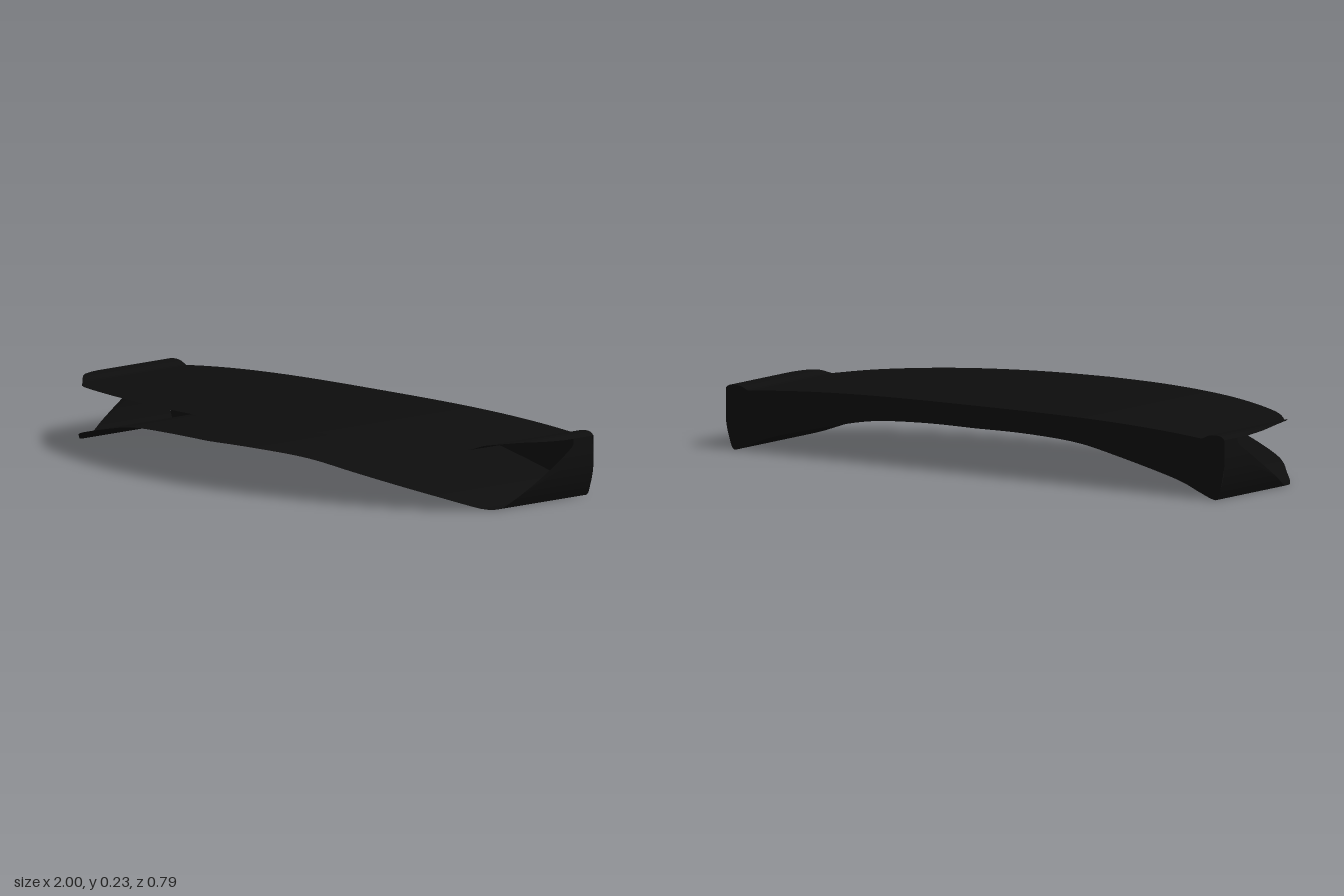
import * as THREE from 'three';

const BACK = -0.395;

// Smooth lookup y(x) through a few points with rising x
function curve(points) {
  const s = new THREE.SplineCurve(points.map(p => new THREE.Vector2(...p))).getPoints(300);
  return x => {
    if (x <= s[0].x) return s[0].y;
    for (let i = 1; i < s.length; i++) {
      if (s[i].x >= x) {
        const t = (x - s[i - 1].x) / Math.max(1e-6, s[i].x - s[i - 1].x);
        return THREE.MathUtils.lerp(s[i - 1].y, s[i].y, t);
      }
    }
    return s[s.length - 1].y;
  };
}

// Grid surface from a function of u, v in 0..1
function surface(nu, nv, fn, flip = false) {
  const pos = [], idx = [];
  for (let i = 0; i <= nu; i++) for (let j = 0; j <= nv; j++) pos.push(...fn(i / nu, j / nv));
  for (let i = 0; i < nu; i++) for (let j = 0; j < nv; j++) {
    const a = i * (nv + 1) + j, b = a + 1, c = a + nv + 1, d = c + 1;
    if (flip) idx.push(a, c, b, b, c, d);
    else idx.push(a, b, c, b, d, c);
  }
  const g = new THREE.BufferGeometry();
  g.setAttribute('position', new THREE.Float32BufferAttribute(pos, 3));
  g.setIndex(idx);
  g.computeVertexNormals();
  return g;
}

// Plan outline: front edge as z(x), and its inverse x(z)
const outline = [[0, 0.393], [0.2, 0.379], [0.4, 0.343], [0.6, 0.285], [0.8, 0.195], [0.9, 0.105],
  [0.95, 0.05], [0.97, 0], [0.985, -0.07], [0.995, -0.15], [1, -0.25]];
const frontZ = curve(outline);
const sideX = curve([[BACK, 1], ...outline.map(([x, z]) => [z, x]).reverse()]);

// Heights across the width
const lip = curve([[0.91, 0], [0.925, 0.008], [0.945, 0.015], [0.975, 0.016], [0.99, 0.012], [1, 0.003]]);
const topY = x => 0.228 - 0.031 * Math.min(1, x / 0.92) ** 3 + (x > 0.91 ? lip(x) : 0);
const bottomY = curve([[0, 0.153], [0.2, 0.153], [0.4, 0.142], [0.56, 0.113], [0.8, 0.057], [0.9, 0.02],
  [0.945, 0.003], [0.97, 0.001], [0.985, 0.035], [1, 0.11]]);

// End plates: outward bulge and sloping front edge by height
const bulge = curve([[0, 0.968], [0.03, 0.983], [0.07, 0.995], [0.11, 1], [0.16, 0.998], [0.203, 0.992]]);
const plateFront = curve([[0, -0.01], [0.08, -0.15], [0.153, -0.27], [0.18, -0.307], [0.203, -0.31]]);

export function createModel() {
  const model = new THREE.Group();
  const black = new THREE.MeshStandardMaterial({ color: 0x0d0d0d, side: THREE.DoubleSide });
  black.name = 'black';
  const add = (name, geometry) => {
    const mesh = new THREE.Mesh(geometry, black);
    mesh.name = name;
    model.add(mesh);
  };
  const across = (u, limit) => Math.sin((u - 0.5) * Math.PI) * limit;

  // Upper panel with a raised lip along each end
  add('upperPanel', surface(140, 6, (u, v) => {
    const x = across(u, 1), a = Math.abs(x);
    return [x, topY(a), THREE.MathUtils.lerp(BACK, frontZ(a) - 0.015, v)];
  }));

  // Arched lower panel
  add('lowerPanel', surface(120, 6, (u, v) => {
    const x = across(u, 0.968), a = Math.abs(x);
    return [x, bottomY(a), THREE.MathUtils.lerp(BACK, frontZ(a), v)];
  }, true));

  // Rear wall closing the two panels
  add('rearWall', surface(140, 4, (u, v) => {
    const x = across(u, 1), a = Math.abs(x);
    return [x, THREE.MathUtils.lerp(bottomY(a), topY(a), v), BACK];
  }, true));

  // Bulged end plates
  for (const side of [1, -1]) {
    add(side > 0 ? 'leftEndPlate' : 'rightEndPlate', surface(20, 24, (u, v) => {
      const y = u * 0.203;
      const z = THREE.MathUtils.lerp(BACK, plateFront(y), v);
      return [side * Math.min(bulge(y), sideX(z)), y, z];
    }, side < 0));
  }
  return model;
}
